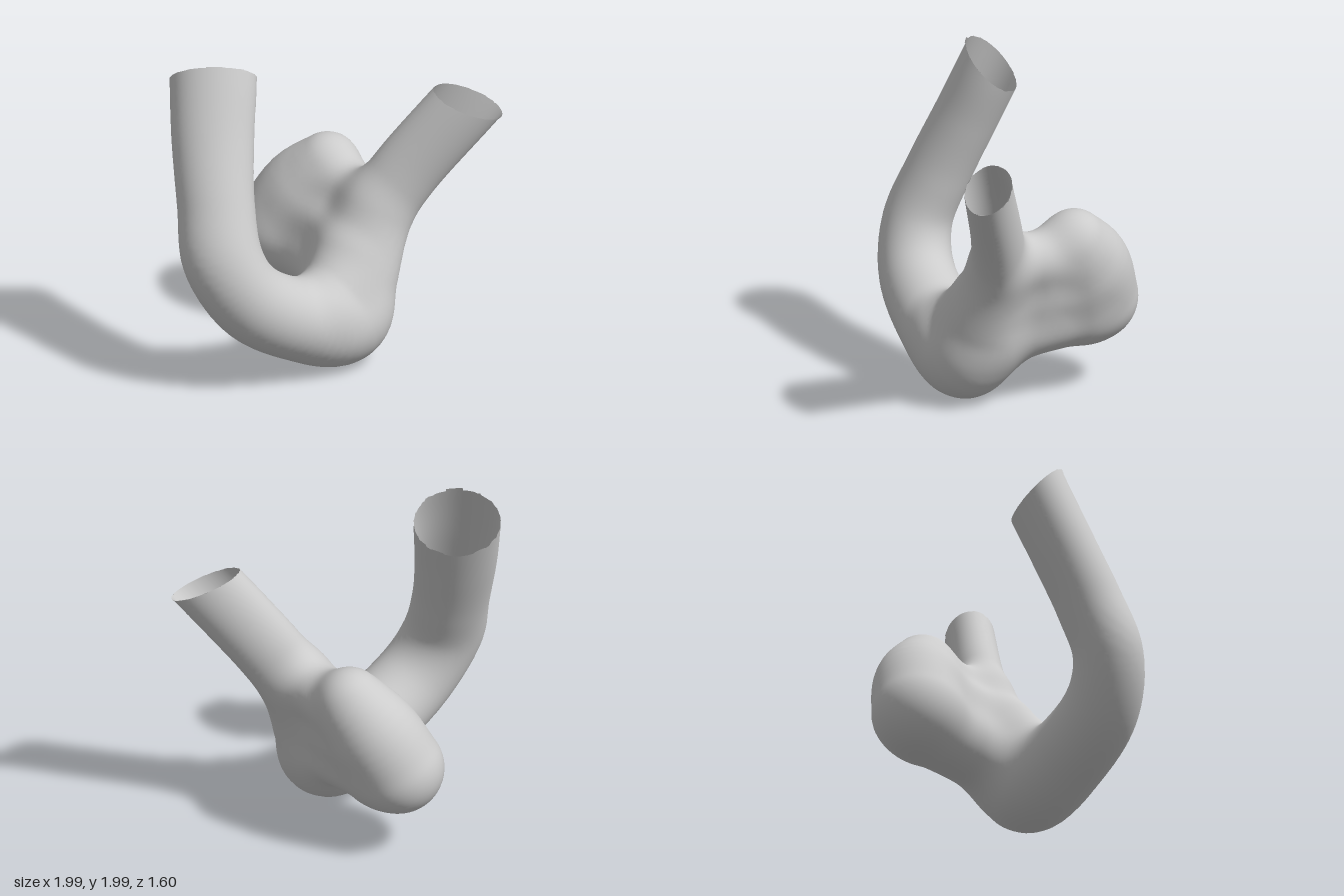
import * as THREE from 'three';
import { mergeVertices } from 'three/addons/utils/BufferGeometryUtils.js';

// Nodes: x, y, z, radius, squash in x, squash in z (above 1 makes it thinner)
const VESSEL = [
  [-0.73, 2.08, 0.02, 0.195, 0.75, 1], [-0.73, 1.8, 0.15, 0.195, 0.75, 1],
  [-0.735, 1.5, 0.29, 0.195, 0.79, 1], [-0.72, 1.15, 0.455, 0.2, 0.86, 1],
  [-0.68, 0.84, 0.575, 0.21, 0.86, 1], [-0.515, 0.565, 0.555, 0.24, 1, 1.05],
  [-0.25, 0.37, 0.4, 0.25, 1, 1], [0.035, 0.28, 0.2, 0.278, 1, 1],
  [0.135, 0.5, 0.11, 0.235, 1, 1.05], [0.25, 0.85, -0.01, 0.213, 1, 1.2],
  [0.42, 1.13, -0.04, 0.21, 1, 1.35], [0.775, 1.57, -0.03, 0.212, 1, 1.48],
  [0.965, 1.8, -0.03, 0.212, 1, 1.48],
];
// Thickening inside the sharp bend
const BEND = [[-0.06, 0.4, 0.3, 0.19, 1, 1], [0.0, 0.5, 0.2, 0.19, 1, 1], [0.07, 0.61, 0.1, 0.18, 1, 1]];
const SAC = [[
  [-0.035, 1.0, -0.45, 0.185, 1, 1], [-0.18, 0.79, -0.505, 0.26, 1, 1], [-0.315, 0.55, -0.52, 0.277, 1, 1],
], [ // broad neck joining sac and vessel: low, middle and high
  [0.06, 0.44, 0.0, 0.22, 1, 1], [-0.05, 0.49, -0.2, 0.225, 1, 1], [-0.2, 0.525, -0.42, 0.24, 1, 1],
], [
  [0.09, 0.68, 0.0, 0.18, 1, 1], [0.015, 0.7, -0.2, 0.215, 1, 1], [-0.12, 0.74, -0.42, 0.23, 1, 1],
], [
  [0.22, 0.92, -0.06, 0.16, 1, 1], [0.11, 0.91, -0.23, 0.175, 1, 1], [-0.03, 0.92, -0.42, 0.185, 1, 1],
]];

// Planes that open the two vessel ends (side is the sign of x they apply to)
const CUTS = [
  { side: -1, point: [-0.73, 1.84, 0.14], normal: [0, 0.717, -0.697] },
  { side: 1, point: [0.79, 1.59, -0.03], normal: [0.38, 0.912, 0.15] },
];

// Smooth centreline sampled into [x, y, z, radius, sx, sz] rows
function sampleChain(nodes, steps) {
  const path = new THREE.CatmullRomCurve3(nodes.map(n => new THREE.Vector3(n[0], n[1], n[2])));
  const size = new THREE.CatmullRomCurve3(nodes.map(n => new THREE.Vector3(n[3], n[4], n[5])));
  path.curveType = size.curveType = 'catmullrom';
  return Array.from({ length: steps + 1 }, (_, i) =>
    [...path.getPoint(i / steps).toArray(), ...size.getPoint(i / steps).toArray()]);
}

// Distance to a tapered, squashed tube around a sampled centreline
function chainDistance(rows, x, y, z) {
  let best = Infinity;
  for (let i = 0; i + 1 < rows.length; i++) {
    const a = rows[i], b = rows[i + 1];
    const ux = b[0] - a[0], uy = b[1] - a[1], uz = b[2] - a[2];
    let t = ((x - a[0]) * ux + (y - a[1]) * uy + (z - a[2]) * uz) / (ux * ux + uy * uy + uz * uz);
    t = Math.min(1, Math.max(0, t));
    const dx = (x - a[0] - t * ux) * (a[4] + t * (b[4] - a[4]));
    const dy = y - a[1] - t * uy;
    const dz = (z - a[2] - t * uz) * (a[5] + t * (b[5] - a[5]));
    best = Math.min(best, Math.sqrt(dx * dx + dy * dy + dz * dz) - a[3] - t * (b[3] - a[3]));
  }
  return best;
}

function smoothMin(a, b, k) {
  const h = Math.max(k - Math.abs(a - b), 0) / k;
  return Math.min(a, b) - h * h * k / 4;
}

export function createModel() {
  const vessel = sampleChain(VESSEL, 96), bend = sampleChain(BEND, 8);
  const sac = SAC.map(nodes => sampleChain(nodes, 12));
  const vesselField = (x, y, z) =>
    smoothMin(chainDistance(vessel, x, y, z), chainDistance(bend, x, y, z), 0.1);
  const sacField = (x, y, z) =>
    sac.map(rows => chainDistance(rows, x, y, z)).reduce((a, b) => smoothMin(a, b, 0.1));
  const field = (x, y, z) => smoothMin(vesselField(x, y, z), sacField(x, y, z), 0.14);
  const gradient = (x, y, z, e) => [
    (field(x + e, y, z) - field(x - e, y, z)) / (2 * e),
    (field(x, y + e, z) - field(x, y - e, z)) / (2 * e),
    (field(x, y, z + e) - field(x, y, z - e)) / (2 * e),
  ];

  // Sample the blended field on a grid
  const h = 0.034, low = [-1.1, -0.08, -0.9], n = [70, 72, 54];
  const id = (i, j, k) => (i * n[1] + j) * n[2] + k;
  const values = new Float32Array(n[0] * n[1] * n[2]);
  for (let i = 0; i < n[0]; i++)
    for (let j = 0; j < n[1]; j++)
      for (let k = 0; k < n[2]; k++)
        values[id(i, j, k)] = field(low[0] + i * h, low[1] + j * h, low[2] + k * h);

  // One vertex per crossed cell: mean of its edge crossings, pulled onto the surface
  const stride = [n[1] * n[2], n[2], 1];
  const vertexOf = new Map(), positions = [], normals = [], beyond = [];
  function cellVertex(c) {
    if (vertexOf.has(c)) return vertexOf.get(c);
    const cell = [Math.floor(c / stride[0]), Math.floor(c / stride[1]) % n[1], c % n[2]];
    let p = [0, 0, 0], count = 0;
    for (let a = 0; a < 3; a++)
      for (let m = 0; m < 4; m++) {
        const o = [0, 0, 0];
        o[(a + 1) % 3] = m & 1;
        o[(a + 2) % 3] = m >> 1;
        const s = c + o[0] * stride[0] + o[1] * stride[1] + o[2];
        const f0 = values[s], f1 = values[s + stride[a]];
        if ((f0 < 0) === (f1 < 0)) continue;
        o[a] = f0 / (f0 - f1);
        p = p.map((v, q) => v + o[q]);
        count++;
      }
    p = p.map((v, q) => low[q] + h * (cell[q] + v / count));
    for (let pass = 0; pass < 2; pass++) {
      const g = gradient(...p, 0.01), f = field(...p);
      const step = Math.max(-h / 2, Math.min(h / 2, f / Math.max(0.2, g[0] ** 2 + g[1] ** 2 + g[2] ** 2)));
      p = p.map((v, q) => v - step * g[q]);
    }
    const normal = new THREE.Vector3(...gradient(...p, 0.04)).normalize();
    // Vertices past an opening slide back onto its rim
    let cut = false;
    for (const { side, point, normal: d } of CUTS) {
      const over = d.reduce((sum, v, q) => sum + v * (p[q] - point[q]), 0);
      if (p[0] * side > 0.3 && over > 0) {
        p = p.map((v, q) => v - over * d[q]);
        cut = true;
      }
    }
    positions.push(...p);
    normals.push(...normal.toArray());
    beyond.push(cut);
    vertexOf.set(c, beyond.length - 1);
    return beyond.length - 1;
  }

  // A quad around every crossed grid edge, sorted into vessel or sac
  const faces = { vessel: [], sac: [] };
  for (let i = 1; i < n[0] - 1; i++)
    for (let j = 1; j < n[1] - 1; j++)
      for (let k = 1; k < n[2] - 1; k++)
        for (let a = 0; a < 3; a++) {
          const c = id(i, j, k), inside = values[c] < 0;
          if (inside === (values[c + stride[a]] < 0)) continue;
          const u = stride[(a + 1) % 3], v = stride[(a + 2) % 3];
          const q = [c, c - u, c - u - v, c - v].map(cellVertex);
          if (q.every(w => beyond[w])) continue;
          if (!inside) q.reverse();
          const at = positions.slice(q[0] * 3, q[0] * 3 + 3);
          const part = vesselField(...at) <= sacField(...at) ? 'vessel' : 'sac';
          faces[part].push(q[0], q[1], q[2], q[0], q[2], q[3]);
        }

  const material = new THREE.MeshStandardMaterial({ color: 0xcccccc, side: THREE.DoubleSide });
  const group = new THREE.Group();
  group.name = 'branchedVessel';
  for (const [name, index] of Object.entries(faces)) {
    const geometry = new THREE.BufferGeometry();
    geometry.setAttribute('position', new THREE.Float32BufferAttribute(positions, 3));
    geometry.setAttribute('normal', new THREE.Float32BufferAttribute(normals, 3));
    geometry.setIndex(index);
    const mesh = new THREE.Mesh(mergeVertices(geometry.toNonIndexed()), material);
    mesh.name = name;
    group.add(mesh);
  }
  return group;
}
